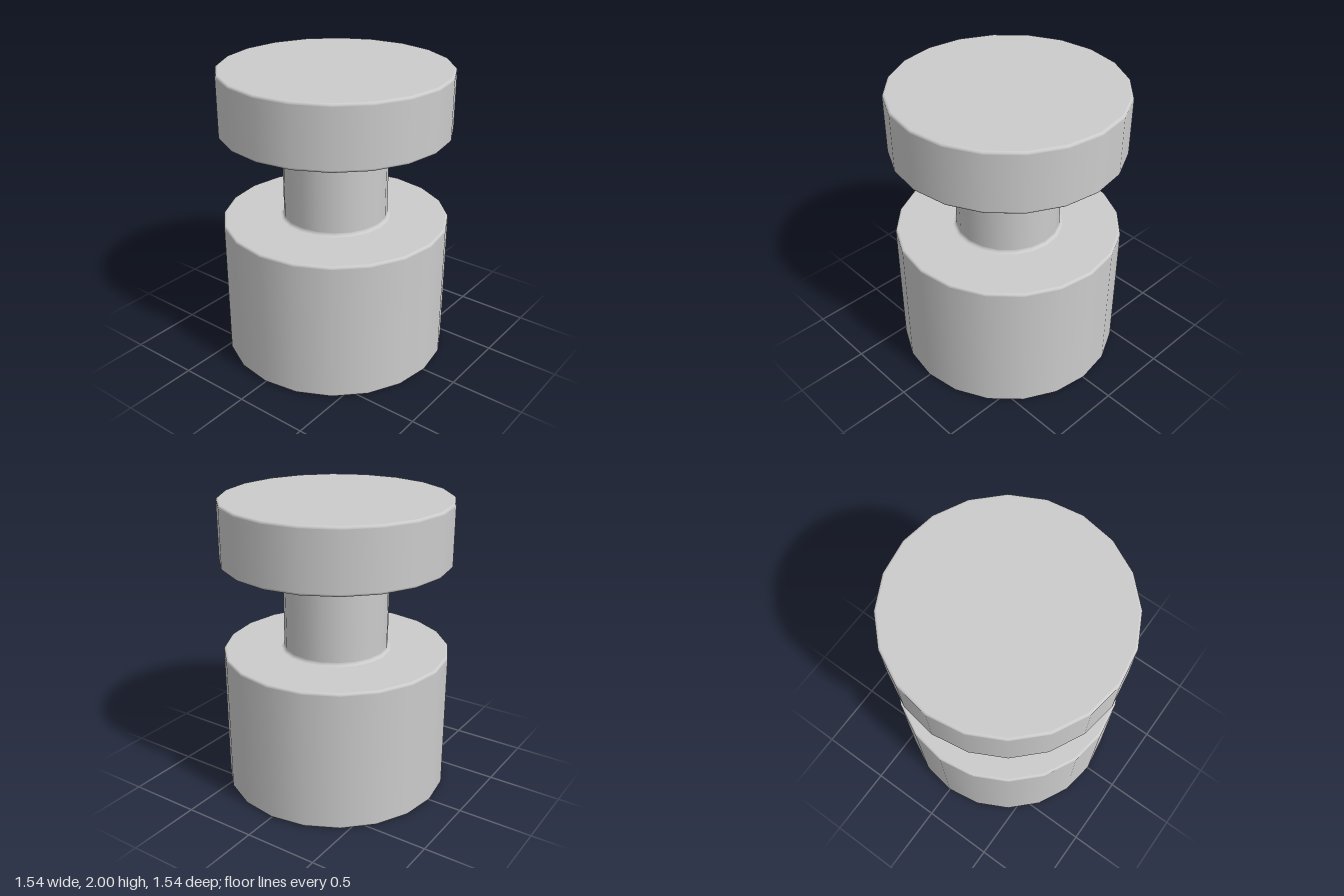
import * as THREE from 'three';

const SIDES = 20;
const DISC_R = 0.77, NECK_R = 0.355;
const BASE_TOP = 0.97, CAP_BOTTOM = 1.585, TOP = 2;
const BEVEL = 0.015, FILLET = 0.02;

// Quarter arc in the profile plane; the tiny lead-in and lead-out points
// keep the neighbouring flat surfaces shaded flat.
function arc(cx, cy, r, from, to, steps = 3) {
  const points = [];
  const dir = Math.sign(to - from), lead = 0.002;
  const at = (a) => new THREE.Vector2(cx + r * Math.cos(a), cy + r * Math.sin(a));
  const tangent = (a) => new THREE.Vector2(-Math.sin(a), Math.cos(a)).multiplyScalar(dir * lead);
  points.push(at(from).sub(tangent(from)));
  for (let i = 0; i <= steps; i++) points.push(at(from + ((to - from) * i) / steps));
  points.push(at(to).add(tangent(to)));
  return points;
}

// Bevelled drum; an inner radius leaves the hidden middle of a face open for the neck.
function drumProfile(y0, y1, innerBottom, innerTop) {
  const c = DISC_R - BEVEL;
  return [
    new THREE.Vector2(innerBottom, y0),
    ...arc(c, y0 + BEVEL, BEVEL, -Math.PI / 2, 0),
    ...arc(c, y1 - BEVEL, BEVEL, 0, Math.PI / 2),
    new THREE.Vector2(innerTop, y1),
  ];
}

export function createModel() {
  const group = new THREE.Group();
  const material = new THREE.MeshStandardMaterial({ color: 0xcccccc });
  const add = (name, profile) => {
    const mesh = new THREE.Mesh(new THREE.LatheGeometry(profile, SIDES), material);
    mesh.name = name;
    group.add(mesh);
  };

  const flare = NECK_R + FILLET;
  const join = flare + 0.002;

  // Tall lower drum
  add('base', drumProfile(0, BASE_TOP, 0, join));

  // Narrow neck, filleted into both drums
  add('neck', [
    ...arc(flare, BASE_TOP + FILLET, FILLET, -Math.PI / 2, -Math.PI),
    ...arc(flare, CAP_BOTTOM - FILLET, FILLET, Math.PI, Math.PI / 2),
  ]);

  // Shallow upper drum
  add('cap', drumProfile(CAP_BOTTOM, TOP, join, 0));

  return group;
}
